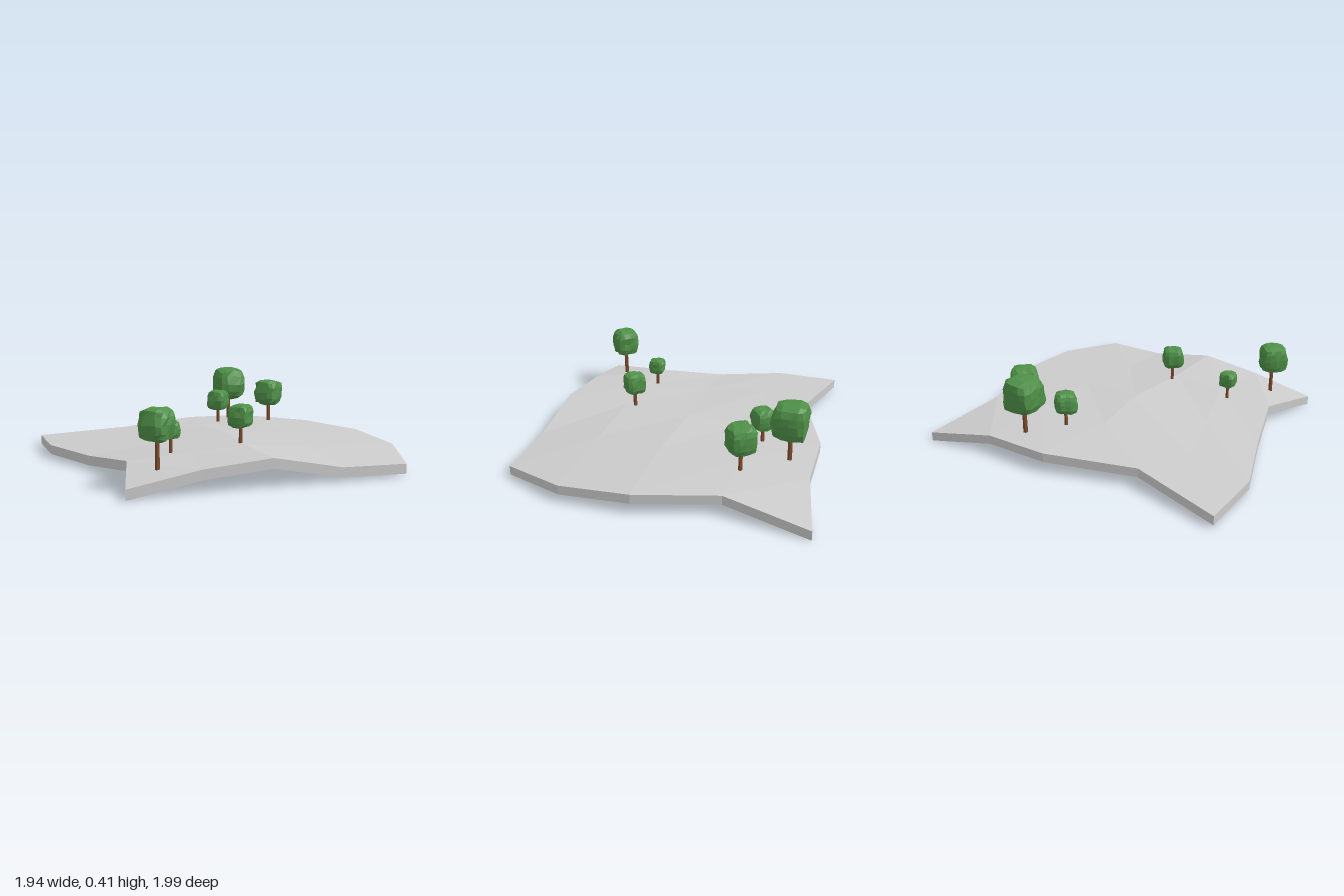
import * as THREE from 'three';
import { mergeVertices } from 'three/addons/utils/BufferGeometryUtils.js';

const material = (color) => new THREE.MeshStandardMaterial({ color, flatShading: true });
const ground = material(0xcccccc);
const leaf = material(0x4f9048);
const bark = material(0x7d4c2c);

// Top of the ground: 5 x 5 grid of x, y, z
const GRID = [
  [[-0.97, 0.065, -0.11], [-0.53, 0.1, -0.25], [-0.22, 0.11, -0.6], [0.07, 0.105, -0.77], [0.33, 0.052, -1]],
  [[-0.81, 0.068, 0.18], [-0.52, 0.092, -0.03 + 0.06], [-0.1, 0.125, -0.22], [0.2, 0.122, -0.45], [0.47, 0.108, -0.6]],
  [[-0.53, 0.068, 0.42], [-0.28, 0.1, 0.27], [0.08, 0.138, 0.04], [0.4, 0.12, -0.1], [0.76, 0.108, -0.31]],
  [[-0.28, 0.1, 0.66], [-0.02, 0.122, 0.52], [0.22, 0.136, 0.38], [0.52, 0.105, 0.23], [0.93, 0.09, 0]],
  [[-0.2, 0.052, 0.99], [0.09, 0.11, 0.83], [0.38, 0.138, 0.68], [0.68, 0.07, 0.51], [0.97, 0.062, 0.35]],
];
const THICKNESS = 0.047;

function createGround() {
  const positions = [];
  const quad = (a, b, c, d) => [a, b, c, a, c, d].forEach((p) => positions.push(...p));
  const below = ([x, y, z]) => [x, y - THICKNESS, z];

  // Top and underside
  for (let i = 0; i < 4; i++) {
    for (let j = 0; j < 4; j++) {
      const cell = [GRID[i][j], GRID[i + 1][j], GRID[i + 1][j + 1], GRID[i][j + 1]];
      quad(...cell);
      quad(...cell.map(below).reverse());
    }
  }

  // Rim, walked counter-clockwise seen from above
  const rim = [];
  for (let k = 0; k < 4; k++) rim.push(GRID[k][0]);
  for (let k = 0; k < 4; k++) rim.push(GRID[4][k]);
  for (let k = 4; k > 0; k--) rim.push(GRID[k][4]);
  for (let k = 4; k > 0; k--) rim.push(GRID[0][k]);
  rim.forEach((a, k) => {
    const b = rim[(k + 1) % rim.length];
    quad(below(a), below(b), b, a);
  });

  const geometry = new THREE.BufferGeometry();
  geometry.setAttribute('position', new THREE.Float32BufferAttribute(positions, 3));
  geometry.computeVertexNormals();
  const mesh = new THREE.Mesh(geometry, ground);
  mesh.name = 'ground';
  return mesh;
}

// Lumpy crown: a cube rounded towards a superellipsoid, with seeded bumps
function createCrownGeometry(seed) {
  let state = seed * 7919 + 17;
  const random = () => {
    state = (state * 16807) % 2147483647;
    return state / 2147483647 - 0.5;
  };
  const box = new THREE.BoxGeometry(2, 2, 2, 4, 4, 4);
  box.deleteAttribute('normal');
  box.deleteAttribute('uv');
  const geometry = mergeVertices(box);
  const position = geometry.attributes.position;
  const p = new THREE.Vector3();
  for (let i = 0; i < position.count; i++) {
    p.fromBufferAttribute(position, i);
    const norm = (p.x ** 4 + p.y ** 4 + p.z ** 4) ** 0.25;
    p.divideScalar(norm);
    // Lower front ledge
    if (p.z > 0.6 && p.y < 0.1) p.z += 0.12;
    p.x += random() * 0.14;
    p.y += random() * 0.12;
    p.z += random() * 0.14;
    position.setXYZ(i, p.x, p.y, p.z);
  }
  geometry.computeVertexNormals();
  return geometry;
}

function createTree({ x, z, base, bottom, top, half, turn }, index) {
  const tree = new THREE.Group();
  tree.name = 'tree';
  tree.position.set(x, 0, z);

  // Trunk
  const foot = base - 0.02;
  const head = (bottom + top) / 2;
  const radius = 0.006 + half * 0.075;
  const trunk = new THREE.Mesh(
    new THREE.CylinderGeometry(radius * 0.85, radius, head - foot, 6), bark);
  trunk.name = 'trunk';
  trunk.position.y = (foot + head) / 2;

  // Crown
  const crown = new THREE.Mesh(createCrownGeometry(index + 1), leaf);
  crown.name = 'crown';
  crown.scale.set(half, (top - bottom) / 2, half);
  crown.position.y = head;
  crown.rotation.y = THREE.MathUtils.degToRad(turn);

  tree.add(trunk, crown);
  return tree;
}

const TREES = [
  { x: 0.015, z: -0.6, base: 0.115, bottom: 0.23, top: 0.41, half: 0.083, turn: 30 },
  { x: 0.26, z: -0.51, base: 0.118, bottom: 0.21, top: 0.35, half: 0.067, turn: -23 },
  { x: -0.017, z: -0.395, base: 0.12, bottom: 0.19, top: 0.3, half: 0.053, turn: -19 },
  { x: 0.195, z: 0.335, base: 0.137, bottom: 0.21, top: 0.32, half: 0.053, turn: -22 },
  { x: -0.11, z: 0.505, base: 0.118, bottom: 0.18, top: 0.265, half: 0.041, turn: 33 },
  { x: -0.11, z: 0.79, base: 0.095, bottom: 0.22, top: 0.365, half: 0.067, turn: -18 },
];

export function createModel() {
  const model = new THREE.Group();
  model.name = 'woodedPlot';
  model.add(createGround(), ...TREES.map(createTree));
  return model;
}
